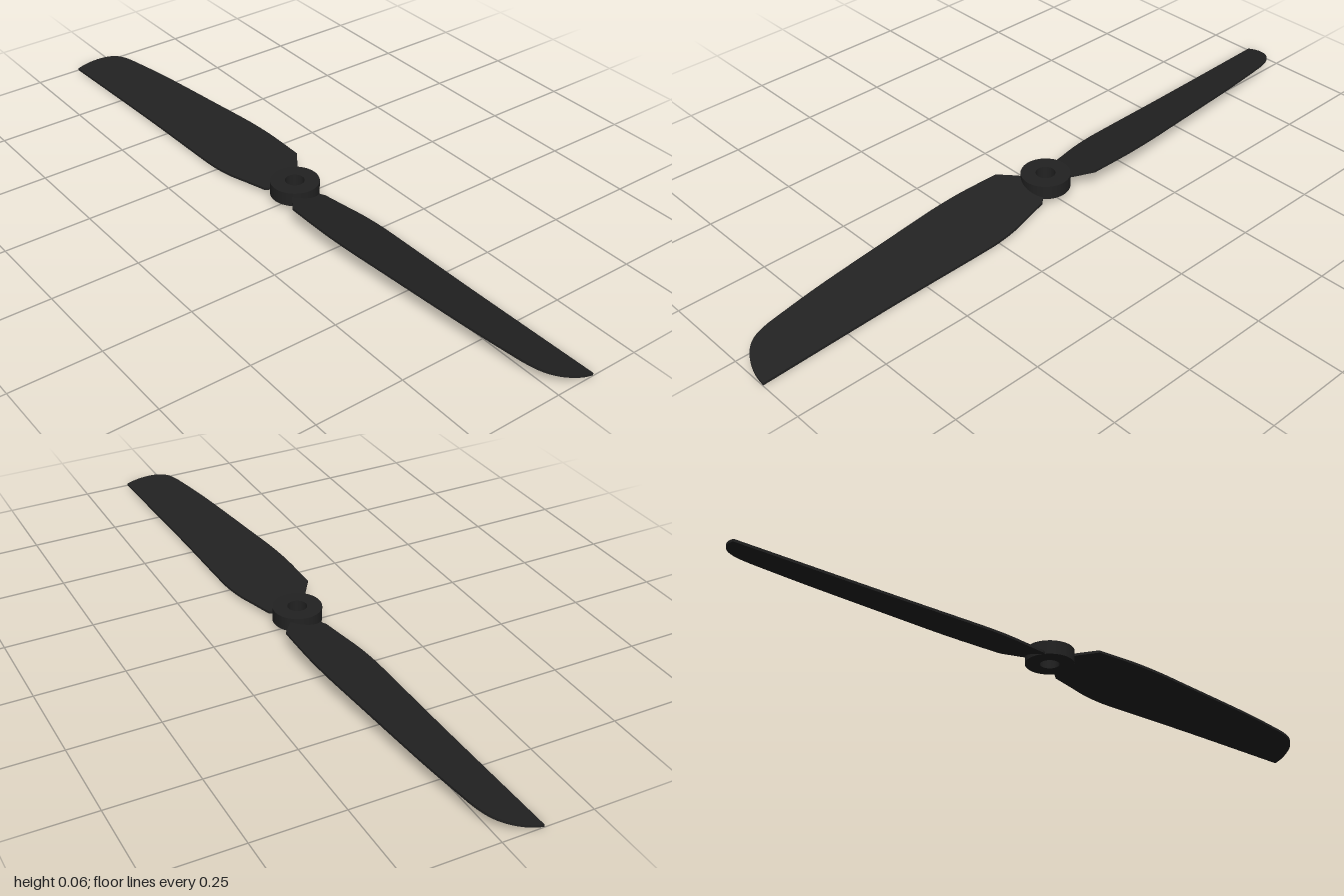
import * as THREE from 'three';

const material = new THREE.MeshStandardMaterial({ color: 0x222222 });

// Flat, pitched blade: plan outline extruded, then sheared along its chord
function bladeGeometry() {
  const thickness = 0.007, pitch = 0.27, midHeight = 0.034;
  const spline = (pts) => pts.map(([x, z]) => new THREE.Vector2(x, -z));

  const shape = new THREE.Shape();
  shape.moveTo(0.042, 0.036);
  // leading edge, root to tip
  shape.lineTo(0.065, 0.056);
  shape.splineThru(spline([[0.13, -0.071], [0.19, -0.085], [0.25, -0.093], [0.32, -0.096], [0.6, -0.101], [0.999, -0.113]]));
  // rounded tip
  shape.splineThru(spline([[0.998, -0.085], [0.99, -0.055], [0.975, -0.027], [0.953, -0.005], [0.925, 0.009], [0.89, 0.018]]));
  // trailing edge back to the root
  shape.splineThru(spline([[0.72, 0.042], [0.45, 0.07], [0.34, 0.081], [0.26, 0.086], [0.2, 0.087], [0.105, 0.086]]));
  shape.lineTo(0.055, -0.05);
  shape.lineTo(0.042, -0.036);
  shape.closePath();

  const geometry = new THREE.ExtrudeGeometry(shape, { depth: thickness, bevelEnabled: false, curveSegments: 5 });
  geometry.rotateX(-Math.PI / 2);
  const p = geometry.attributes.position;
  for (let i = 0; i < p.count; i++) {
    p.setY(i, p.getY(i) - thickness / 2 + midHeight + pitch * p.getZ(i));
  }
  geometry.computeVertexNormals();
  return geometry;
}

// Ring-shaped hub with a through hole for the shaft
function hubGeometry() {
  const shape = new THREE.Shape().absarc(0, 0, 0.068, 0, Math.PI * 2);
  shape.holes.push(new THREE.Path().absarc(0, 0, 0.027, 0, Math.PI * 2, true));
  const geometry = new THREE.ExtrudeGeometry(shape, { depth: 0.04, bevelEnabled: false, curveSegments: 32 });
  geometry.rotateX(-Math.PI / 2);
  geometry.translate(0, 0.02, 0);
  return geometry;
}

export function createModel() {
  const propeller = new THREE.Group();
  propeller.name = 'propeller';

  const hub = new THREE.Mesh(hubGeometry(), material);
  hub.name = 'hub';
  propeller.add(hub);

  // Two identical blades, half a turn apart
  const blade = bladeGeometry();
  ['leftBlade', 'rightBlade'].forEach((name, i) => {
    const mesh = new THREE.Mesh(blade, material);
    mesh.name = name;
    mesh.rotation.y = i * Math.PI;
    propeller.add(mesh);
  });
  return propeller;
}
